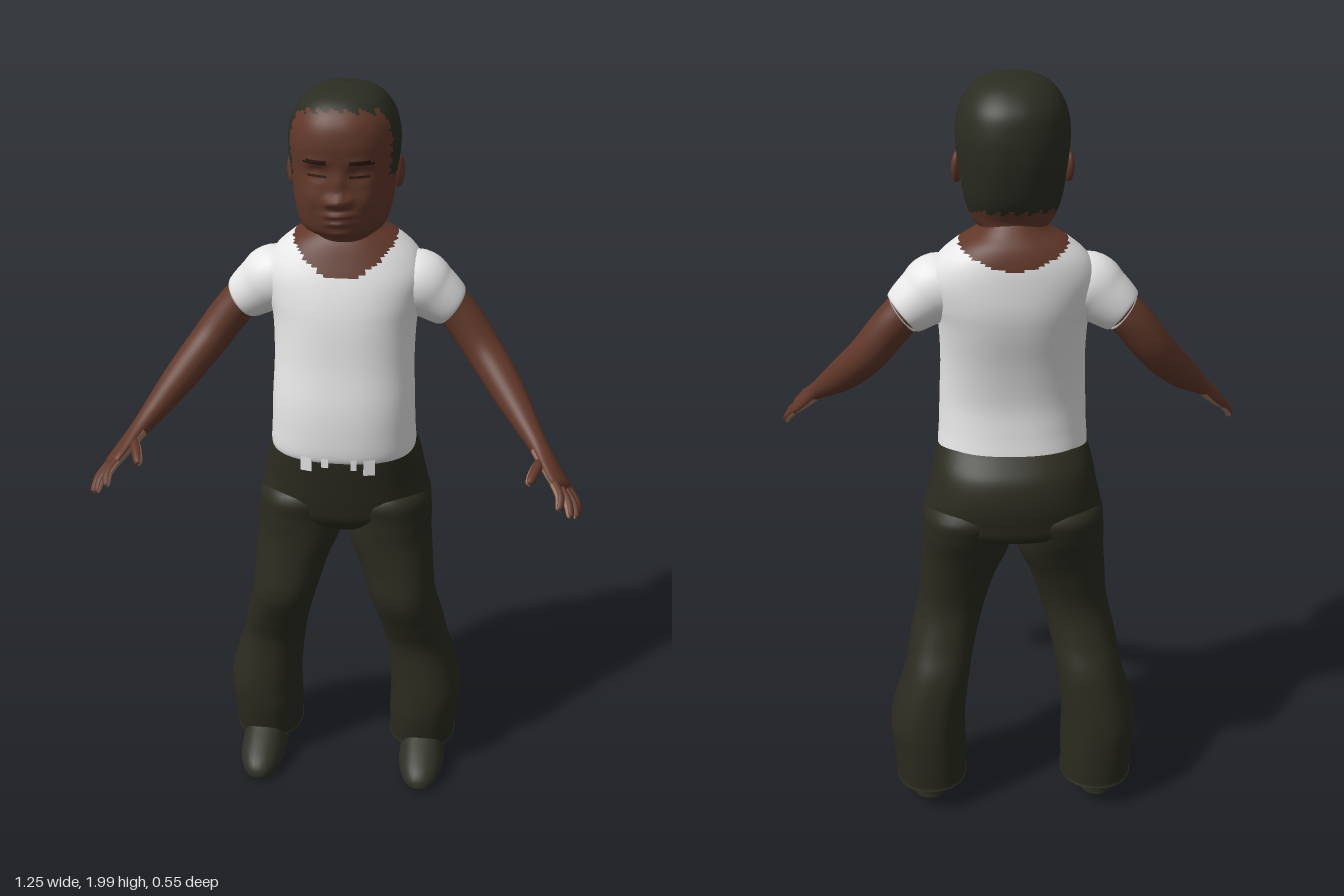
import * as THREE from 'three';

const mat = (name, color) => {
  const m = new THREE.MeshStandardMaterial({ color });
  m.name = name;
  return m;
};

// Catmull-Rom blend of rows of numbers, n steps per span
function refine(rows, n) {
  const out = [];
  const last = rows.length - 1;
  for (let i = 0; i <= last * n; i++) {
    const k = Math.min(Math.floor(i / n), last - 1), t = i / n - k;
    const [a, b, c, d] = [k - 1, k, k + 1, k + 2].map(q => rows[Math.max(0, Math.min(last, q))]);
    out.push(b.map((_, j) => b[j] + 0.5 * t * (c[j] - a[j] + t * (2 * a[j] - 5 * b[j] + 4 * c[j] - d[j]
      + t * (3 * (b[j] - c[j]) + d[j] - a[j])))));
  }
  return out;
}

// Skin a stack of closed rings; rule(centre, angle, progress) picks the material of each quad
function skin(name, rings, mats, rule = () => 0, side = 1) {
  const segs = rings[0].length, pos = [], lists = mats.map(() => []);
  rings.forEach(r => r.forEach(p => pos.push(p.x * side, p.y, p.z)));
  for (let i = 0; i < rings.length - 1; i++) {
    for (let j = 0; j < segs; j++) {
      const k = (j + 1) % segs;
      const a = i * segs + j, b = a + segs, c = i * segs + k, d = c + segs;
      const mid = rings[i][j].clone().add(rings[i + 1][k]).multiplyScalar(0.5);
      const list = lists[rule(mid, (j + 0.5) / segs * Math.PI * 2, i / (rings.length - 1))];
      if (side > 0) list.push(a, b, c, c, b, d);
      else list.push(a, c, b, c, d, b);
    }
  }
  const g = new THREE.BufferGeometry();
  g.setAttribute('position', new THREE.Float32BufferAttribute(pos, 3));
  g.setIndex(lists.flat());
  let start = 0;
  lists.forEach((l, i) => { g.addGroup(start, l.length, i); start += l.length; });
  g.computeVertexNormals();
  const mesh = new THREE.Mesh(g, mats.length > 1 ? mats : mats[0]);
  mesh.name = name;
  return mesh;
}

// Horizontal sections, bottom to top: [y, centreX, halfWidth, zFront, zBack]
function body(rows, segs, n, tweak) {
  const pw = v => Math.sign(v) * Math.abs(v) ** 0.87;
  return refine(rows, n).map(([y, cx, hw, zf, zb]) => Array.from({ length: segs }, (_, j) => {
    const a = j / segs * Math.PI * 2;
    const p = new THREE.Vector3(cx + Math.max(0, hw) * pw(Math.cos(a)), y, (zf + zb) / 2 + (zf - zb) / 2 * pw(Math.sin(a)));
    if (tweak) tweak(p);
    return p;
  }));
}

// Sections along a path: [x, y, z, thickness, breadth]; the thickness faces the back of the hand
const OUT = new THREE.Vector3(0.74, 0.67, 0.05);
function limb(rows, segs, n) {
  const pts = refine(rows, n), at = i => new THREE.Vector3(...pts[Math.max(0, Math.min(pts.length - 1, i))]);
  return pts.map((r, i) => {
    const t = at(i + 1).sub(at(i - 1)).normalize();
    const nrm = OUT.clone().addScaledVector(t, -OUT.dot(t)).normalize();
    const lat = nrm.clone().cross(t);
    return Array.from({ length: segs }, (_, j) => {
      const a = j / segs * Math.PI * 2;
      return at(i).addScaledVector(nrm, Math.cos(a) * Math.max(0, r[3])).addScaledVector(lat, Math.sin(a) * Math.max(0, r[4]));
    });
  });
}

// Face relief: [x, y, spreadX, spreadY, height], mirrored
const RELIEF = [
  [0, 1.748, 0.02, 0.016, 0.026], [0, 1.785, 0.012, 0.03, 0.012], [0.022, 1.745, 0.01, 0.01, 0.012],
  [0.052, 1.812, 0.024, 0.016, -0.014], [0.052, 1.81, 0.015, 0.009, 0.008], [0.05, 1.842, 0.03, 0.01, 0.004],
  [0, 1.712, 0.03, 0.007, 0.014], [0, 1.692, 0.026, 0.007, 0.013], [0, 1.662, 0.025, 0.012, 0.006],
  [0.07, 1.75, 0.025, 0.025, 0.006],
];
function faceRelief(p) {
  if (p.z < -0.02) return;
  let dz = 0;
  for (const [x, y, sx, sy, h] of RELIEF) dz += h * Math.exp(-(((Math.abs(p.x) - x) / sx) ** 2) - ((p.y - y) / sy) ** 2);
  p.z += dz * Math.min(1, (p.z + 0.02) / 0.05);
}

export function createModel() {
  const model = new THREE.Group();
  const skinMat = mat('brown skin', 0x61382a), palmMat = mat('light palm', 0xa27a62);
  const hairMat = mat('dark hair', 0x2b2d22), lipMat = mat('lips', 0x5a312a), lineMat = mat('lash and brow', 0x2e1a14);
  const shirtMat = mat('white shirt', 0xe6e6e6), trouserMat = mat('dark trousers', 0x2b2b20), shoeMat = mat('dark shoes', 0x2f3026);

  // Head with hair, brows, closed eyes and lips
  const head = body([
    [1.57, 0, 0.085, -0.035, -0.2], [1.63, 0, 0.08, -0.005, -0.195], [1.65, 0, 0.092, 0.05, -0.195],
    [1.67, 0, 0.108, 0.072, -0.198], [1.72, 0, 0.122, 0.082, -0.225], [1.78, 0, 0.13, 0.083, -0.242],
    [1.83, 0, 0.136, 0.087, -0.25], [1.88, 0, 0.137, 0.094, -0.25], [1.93, 0, 0.125, 0.084, -0.238],
    [1.97, 0, 0.097, 0.05, -0.2], [1.992, 0, 0.055, 0.0, -0.15], [2.0, 0, 0, -0.07, -0.08],
  ], 80, 9, faceRelief);
  model.add(skin('head', head, [skinMat, hairMat, lineMat, lipMat], p => {
    const jag = 0.006 * Math.sin(p.x * 190 + p.y * 230), x = Math.abs(p.x);
    if (p.y > 1.958 + jag - 0.8 * x * x) return 1;
    if (p.z < 0.008 + jag && p.y > 1.79 + jag) return 1;
    if (p.z < -0.11 + jag && p.y > 1.695 + jag - 0.12 * (p.z + 0.2)) return 1;
    if (p.z < 0.02) return 0;
    if (x > 0.024 && x < 0.085 && Math.abs(p.y - 1.84 + 2 * (x - 0.052) ** 2) < 0.005) return 2;
    if (x > 0.03 && x < 0.076 && Math.abs(p.y - 1.807) < 0.004) return 2;
    if (x < 0.036 && Math.abs(p.y - 1.702) < 0.0025) return 2;
    return x < 0.036 && Math.abs(p.y - 1.702) < 0.016 - 0.25 * x ? 3 : 0;
  }));

  // Torso: shirt below a scooped neckline, skin above
  const torso = body([
    [1.03, 0, 0.18, 0.06, -0.195], [1.055, 0, 0.193, 0.08, -0.213], [1.12, 0, 0.19, 0.084, -0.205],
    [1.2, 0, 0.187, 0.08, -0.2], [1.3, 0, 0.183, 0.065, -0.215], [1.4, 0, 0.187, 0.055, -0.24],
    [1.46, 0, 0.2, 0.045, -0.25], [1.52, 0, 0.208, 0.028, -0.25], [1.57, 0, 0.185, 0.008, -0.245],
    [1.61, 0, 0.14, -0.01, -0.233], [1.64, 0, 0.09, -0.03, -0.212], [1.67, 0, 0.06, -0.05, -0.19],
  ], 72, 7);
  model.add(skin('shirtAndNeck', torso, [shirtMat, skinMat], p => {
    const low = p.z > -0.11 ? 1.532 : 1.565;
    return p.y > low + (1.615 - low) * (p.x / 0.135) ** 2 ? 1 : 0;
  }));

  // Trouser seat
  model.add(skin('trouserSeat', body([
    [0.785, 0, 0, -0.07, -0.1], [0.81, 0, 0.1, 0.0, -0.17], [0.85, 0, 0.215, 0.04, -0.25], [0.9, 0, 0.23, 0.054, -0.268],
    [0.96, 0, 0.218, 0.065, -0.275], [1.02, 0, 0.206, 0.074, -0.262], [1.06, 0, 0.194, 0.076, -0.23], [1.075, 0, 0.185, 0.065, -0.215],
  ], 56, 5), [trouserMat]));

  // Shirt tufts over the waistband
  for (const [x, w, h] of [[-0.085, 0.03, 0.04], [-0.035, 0.018, 0.025], [0.04, 0.015, 0.03], [0.08, 0.03, 0.045]]) {
    const tuft = new THREE.Mesh(new THREE.BoxGeometry(w, h, 0.008), shirtMat);
    tuft.name = 'shirtTuft';
    tuft.position.set(x, 1.06 - h / 2, 0.078 - 1.6 * x * x);
    tuft.rotation.y = x * 3;
    model.add(tuft);
  }

  const palmRule = (p, a) => (Math.cos(a) < -0.25 ? 1 : 0);
  for (const side of [1, -1]) {
    const prefix = side > 0 ? 'left' : 'right';
    const add = (name, rings, mats, rule) => model.add(skin(prefix + name, rings, mats, rule, side));

    // Trouser leg, flared at the hem
    add('TrouserLeg', body([
      [0.1, 0.23, 0, -0.12, -0.14], [0.088, 0.23, 0.09, -0.025, -0.245], [0.09, 0.23, 0.095, -0.02, -0.25],
      [0.18, 0.233, 0.1, -0.002, -0.255], [0.27, 0.236, 0.102, 0.0, -0.254], [0.41, 0.208, 0.09, -0.008, -0.235],
      [0.5, 0.19, 0.09, 0.02, -0.2], [0.6, 0.165, 0.092, 0.055, -0.177], [0.7, 0.145, 0.103, 0.047, -0.195],
      [0.78, 0.125, 0.116, 0.042, -0.222], [0.85, 0.123, 0.115, 0.044, -0.25], [0.92, 0.115, 0.105, 0.04, -0.25], [0.97, 0.11, 0, -0.08, -0.1],
    ], 36, 5), [trouserMat]);

    // Shoe
    add('Shoe', body([
      [0.008, 0.235, 0, -0.04, -0.06], [0.012, 0.235, 0.052, 0.085, -0.185], [0.035, 0.235, 0.066, 0.104, -0.2],
      [0.065, 0.235, 0.064, 0.085, -0.2], [0.095, 0.234, 0.057, 0.035, -0.198], [0.13, 0.233, 0.05, -0.035, -0.19], [0.16, 0.232, 0.045, -0.06, -0.185],
    ], 36, 5), [shoeMat]);

    // Sleeve
    add('Sleeve', limb([
      [0.11, 1.495, -0.11, 0.06, 0.08], [0.18, 1.49, -0.11, 0.085, 0.085], [0.225, 1.462, -0.115, 0.075, 0.076],
      [0.27, 1.427, -0.12, 0.06, 0.064], [0.266, 1.43, -0.12, 0.046, 0.05],
    ], 32, 6), [shirtMat]);

    // Arm running into the palm
    add('Arm', limb([
      [0.23, 1.47, -0.12, 0.05, 0.055], [0.3, 1.395, -0.12, 0.051, 0.056], [0.365, 1.31, -0.095, 0.049, 0.054],
      [0.43, 1.232, -0.02, 0.043, 0.047], [0.48, 1.175, 0.055, 0.032, 0.036], [0.512, 1.14, 0.105, 0.024, 0.031],
      [0.545, 1.102, 0.15, 0.02, 0.044], [0.572, 1.073, 0.188, 0.016, 0.046], [0.58, 1.064, 0.2, 0, 0],
    ], 32, 7), [skinMat, palmMat], (p, a, v) => (v > 0.64 ? palmRule(p, a) : 0));

    // Fingers and thumb: base, middle, tip
    [
      [[0.553, 1.09, 0.212], [0.567, 1.073, 0.245], [0.566, 1.05, 0.275]],
      [[0.566, 1.077, 0.197], [0.588, 1.052, 0.235], [0.596, 1.025, 0.264]],
      [[0.578, 1.066, 0.179], [0.603, 1.038, 0.213], [0.612, 1.012, 0.24]],
      [[0.589, 1.055, 0.162], [0.61, 1.03, 0.185], [0.617, 1.008, 0.205]],
      [[0.528, 1.122, 0.135], [0.505, 1.113, 0.19], [0.49, 1.097, 0.235]],
    ].forEach(([b, m, t], i) => {
      const r = i === 4 ? 0.014 : 0.0115;
      const near = t.map((v, k) => v * 0.9 + m[k] * 0.1);
      add(i === 4 ? 'Thumb' : 'Finger', limb([[...b, r, r], [...m, r, r], [...near, r * 0.75, r * 0.75], [...t, 0, 0]], 12, 4),
        [skinMat, palmMat], palmRule);
    });

    // Ear
    const ear = new THREE.Mesh(new THREE.SphereGeometry(1, 20, 14), skinMat);
    ear.name = prefix + 'Ear';
    ear.scale.set(0.013, 0.04, 0.026);
    ear.position.set(side * 0.133, 1.782, -0.09);
    ear.rotation.set(-0.2, side * -0.3, 0);
    model.add(ear);
  }
  return model;
}
